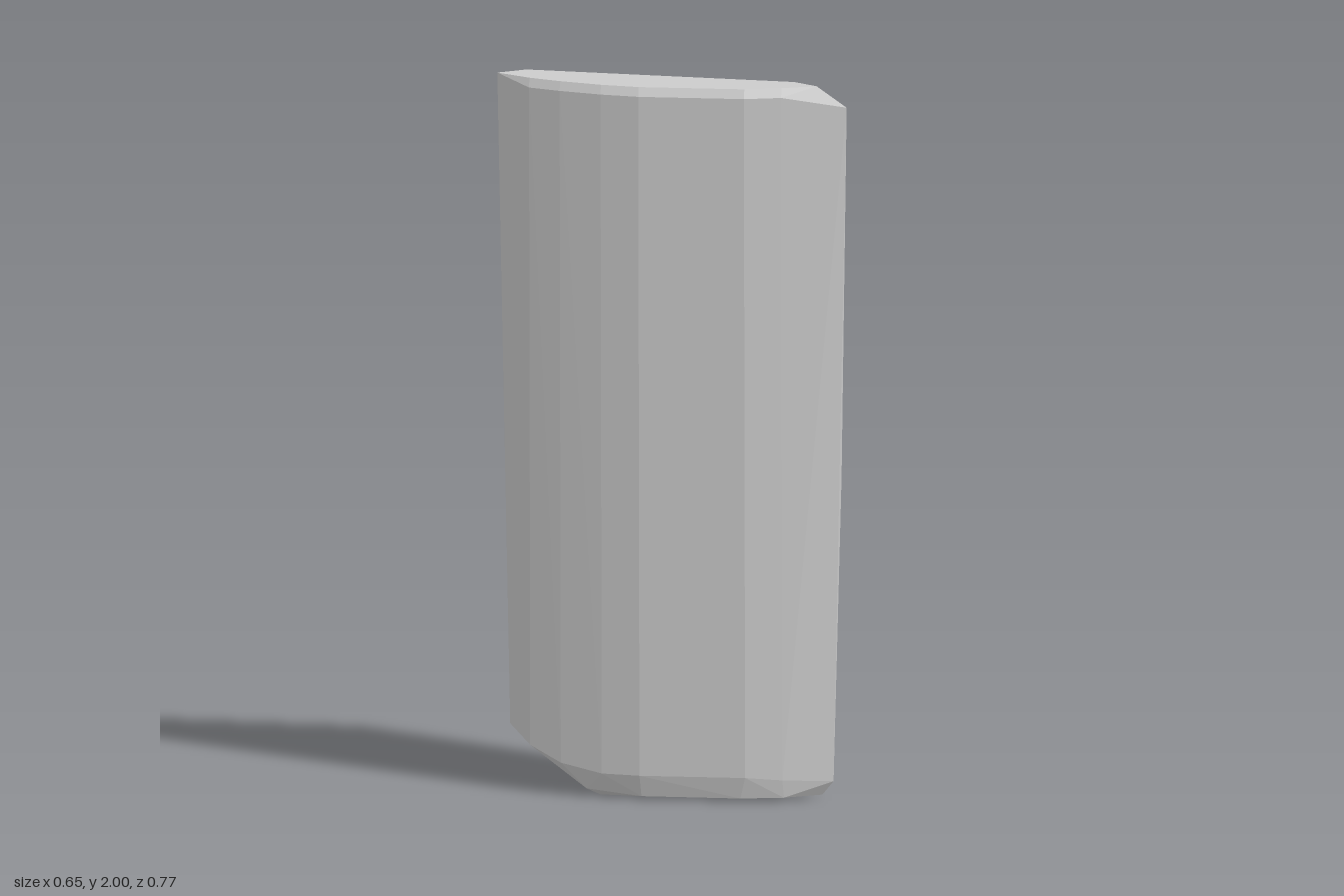
import * as THREE from 'three';
import { ConvexGeometry } from 'three/addons/geometries/ConvexGeometry.js';

export function createModel() {
  const group = new THREE.Group();
  group.name = 'stoneSlab';
  const points = [];
  const add = (list) => list.forEach((p) => points.push(new THREE.Vector3(...p)));

  // Curved front outline in plan [x, z], from the back tip to the front tip
  const front = [[-0.315, -0.24], [-0.28, -0.15], [-0.225, -0.04], [-0.165, 0.05],
    [0.04, 0.255], [0.13, 0.305]];
  front.forEach(([x, z], i) => {
    // Chamfered top rim
    points.push(new THREE.Vector3(x, 1.975, z));
    points.push(new THREE.Vector3(x + 0.008, 2, z - 0.008));
    // The slab leans, so the foot is shifted back; its left end rises
    const y = [0.13, 0.09, 0.07, 0.07, 0.07, 0.06][i];
    points.push(new THREE.Vector3(x + 0.06, y, z - 0.07));
  });

  // Top: flat lens with a straight back edge and a clipped front corner
  add([[-0.33, 2, -0.36], [-0.24, 2, -0.345], [0.22, 2, 0.25], [0.23, 2, 0.335],
    [0.305, 1.94, 0.27], [0.295, 1.94, 0.385]]);

  // Slight bulge on the narrow front edge
  add([[0.325, 0.9, 0.325]]);

  // Foot: back corners, ridge corner and front edge
  add([[-0.265, 0.18, -0.385], [-0.14, 0.17, -0.375], [0.165, 0.005, -0.11],
    [0.305, 0.16, 0.165], [0.325, 0.05, 0.29]]);

  // Underside
  add([[-0.17, 0.02, -0.17], [-0.13, 0, -0.16], [-0.09, 0.01, -0.03], [0.1, 0.01, 0.165],
    [0.2, 0.01, 0.23], [0.31, 0.01, 0.26]]);

  const slab = new THREE.Mesh(
    new ConvexGeometry(points),
    new THREE.MeshStandardMaterial({ color: 0xcccccc, flatShading: true })
  );
  slab.name = 'slab';
  group.add(slab);
  return group;
}
